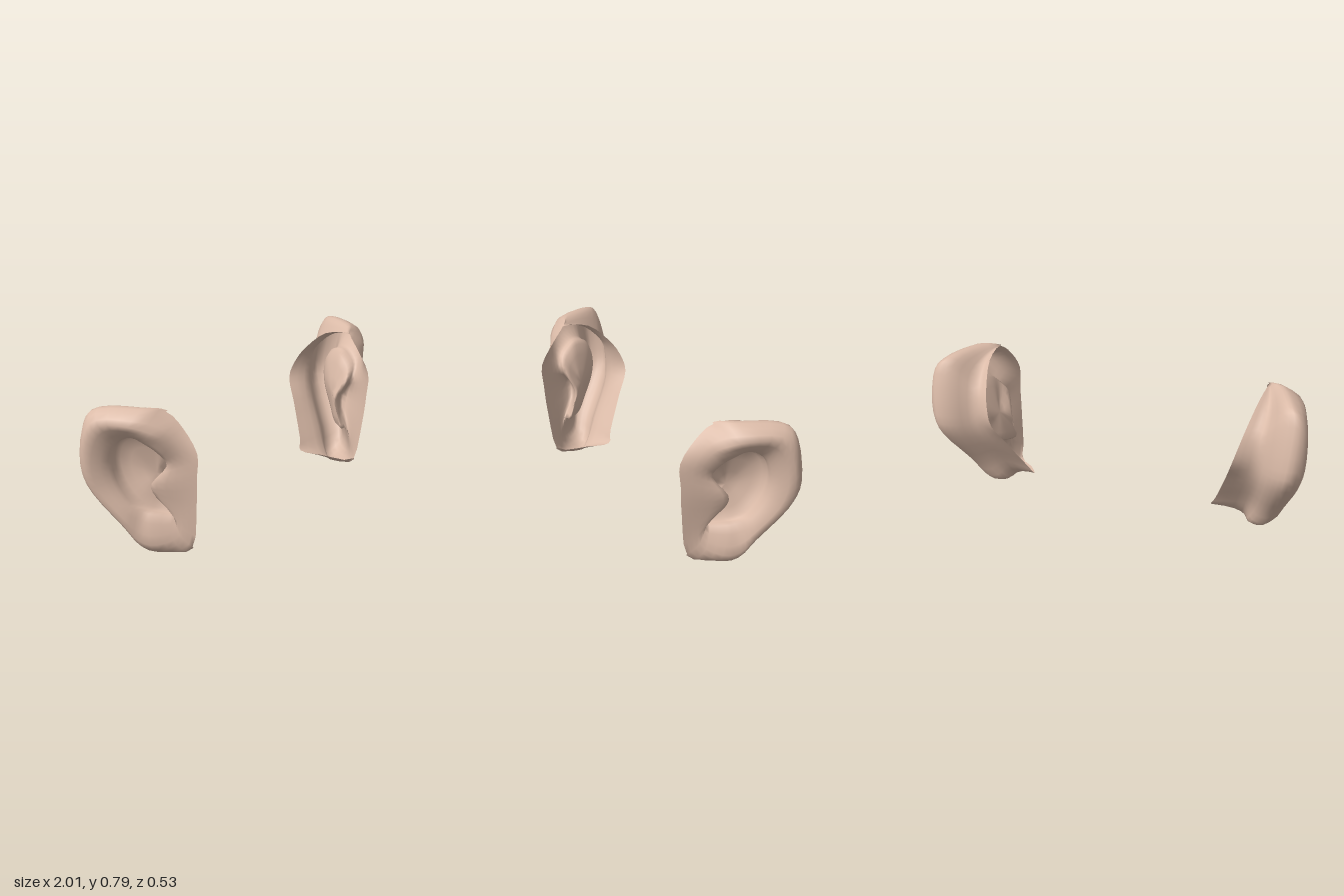
import * as THREE from 'three';
import { mergeVertices } from 'three/addons/utils/BufferGeometryUtils.js';

const SKIN = new THREE.MeshStandardMaterial({ color: 0xdbbba8, side: THREE.DoubleSide });
SKIN.name = 'skin';

const COLS = 14, SUB = 3;

// Each contour runs front, over the top, down the back, and round the lobe.
const hollow = [
  .67, .38, .07, .70, .49, .11, .745, .55, .09, .765, .59, .045, .785, .61, .0, .81, .595, -.07, .82, .55, -.11,
  .82, .47, -.125, .81, .38, -.105, .785, .29, -.05, .75, .245, -.005, .71, .23, .04, .665, .235, .105, .67, .29, .09];
const opening = [
  .79, .39, .045, .755, .49, .115, .805, .57, .105, .84, .615, .05, .86, .635, -.01, .885, .615, -.07, .905, .565, -.105,
  .91, .47, -.12, .895, .37, -.10, .86, .27, -.045, .81, .235, -.005, .78, .22, .04, .71, .212, .12, .765, .31, .05];
const crest = [
  .745, .41, .16, .745, .53, .18, .80, .64, .155, .86, .69, .115, .925, .72, .035, .975, .705, -.105, 1.0, .61, -.165,
  1.0, .46, -.185, .965, .33, -.155, .895, .18, -.05, .845, .09, .0, .795, .07, .07, .715, .12, .15, .72, .27, .16];
const outline = [
  .70, .45, .255, .70, .575, .26, .71, .69, .18, .738, .758, .105, .835, .782, .04, .93, .765, -.155, .965, .69, -.215,
  .95, .475, -.26, .92, .345, -.23, .84, .14, -.085, .775, .017, -.02, .73, .006, .07, .68, .058, .20, .69, .28, .24];

// The back of the ear exists only between columns 3 and 12.
const rimBack = [
  .80, .772, .01, .865, .755, -.15, .875, .675, -.21, .86, .465, -.242,
  .835, .335, -.21, .77, .14, -.085, .70, .018, -.015, .675, .01, .07];
const groove = [
  .77, .73, -.02, .78, .66, -.115, .77, .58, -.17, .765, .455, -.185,
  .74, .335, -.155, .69, .18, -.06, .655, .07, .01, .64, .03, .07];
const flange = [
  .728, .735, -.05, .70, .64, -.16, .675, .55, -.22, .645, .45, -.24,
  .60, .33, -.17, .53, .16, -.07, .50, .10, -.04, .56, .08, .06];

const toPoints = (a) => {
  const pts = [];
  for (let i = 0; i < a.length; i += 3) pts.push(new THREE.Vector3(a[i], a[i + 1], a[i + 2]));
  return pts;
};

// Complete a back contour by joining it to the front edge
function backLoop(values) {
  const loop = toPoints(outline);
  toPoints(values).forEach((p, i) => loop[i + 4].copy(p));
  return loop;
}

function earGeometry(side) {
  const floor = Array.from({ length: COLS }, () => new THREE.Vector3(.715, .41, .01));
  const loops = [floor, toPoints(hollow), toPoints(opening), toPoints(crest), toPoints(outline),
    backLoop(rimBack), backLoop(groove), backLoop(flange)]
    .map((pts) => new THREE.CatmullRomCurve3(pts, true, 'catmullrom', 0.5));

  const nCols = COLS * SUB, nRings = (loops.length - 1) * SUB;
  const positions = [], index = [];
  for (let c = 0; c < nCols; c++) {
    const section = new THREE.CatmullRomCurve3(
      loops.map((l) => l.getPoint(c / nCols)), false, 'catmullrom', 0.5);
    for (let r = 0; r <= nRings; r++) {
      const p = section.getPoint(r / nRings);
      positions.push(p.x * side, p.y, p.z);
    }
  }

  const at = (r, c) => (c % nCols) * (nRings + 1) + r;
  const tri = (a, b, c) => (side > 0 ? index.push(a, b, c) : index.push(a, c, b));
  for (let c = 0; c < nCols; c++) {
    const hasBack = c >= 3 * SUB && c < 12 * SUB;
    const last = hasBack ? nRings : 4 * SUB; // the sheet stops at the cheek edge in front
    for (let r = 0; r < last; r++) {
      const a = at(r, c), b = at(r + 1, c), d = at(r, c + 1), e = at(r + 1, c + 1);
      if (r > 0) tri(a, d, b);
      tri(b, d, e);
    }
  }

  const geo = new THREE.BufferGeometry();
  geo.setAttribute('position', new THREE.Float32BufferAttribute(positions, 3));
  geo.setIndex(index);
  const welded = mergeVertices(geo, 1e-4);
  welded.computeVertexNormals();
  return welded;
}

export function createModel() {
  const group = new THREE.Group();
  group.name = 'ears';
  for (const side of [1, -1]) {
    const ear = new THREE.Mesh(earGeometry(side), SKIN);
    ear.name = side > 0 ? 'leftEar' : 'rightEar';
    group.add(ear);
  }
  return group;
}
